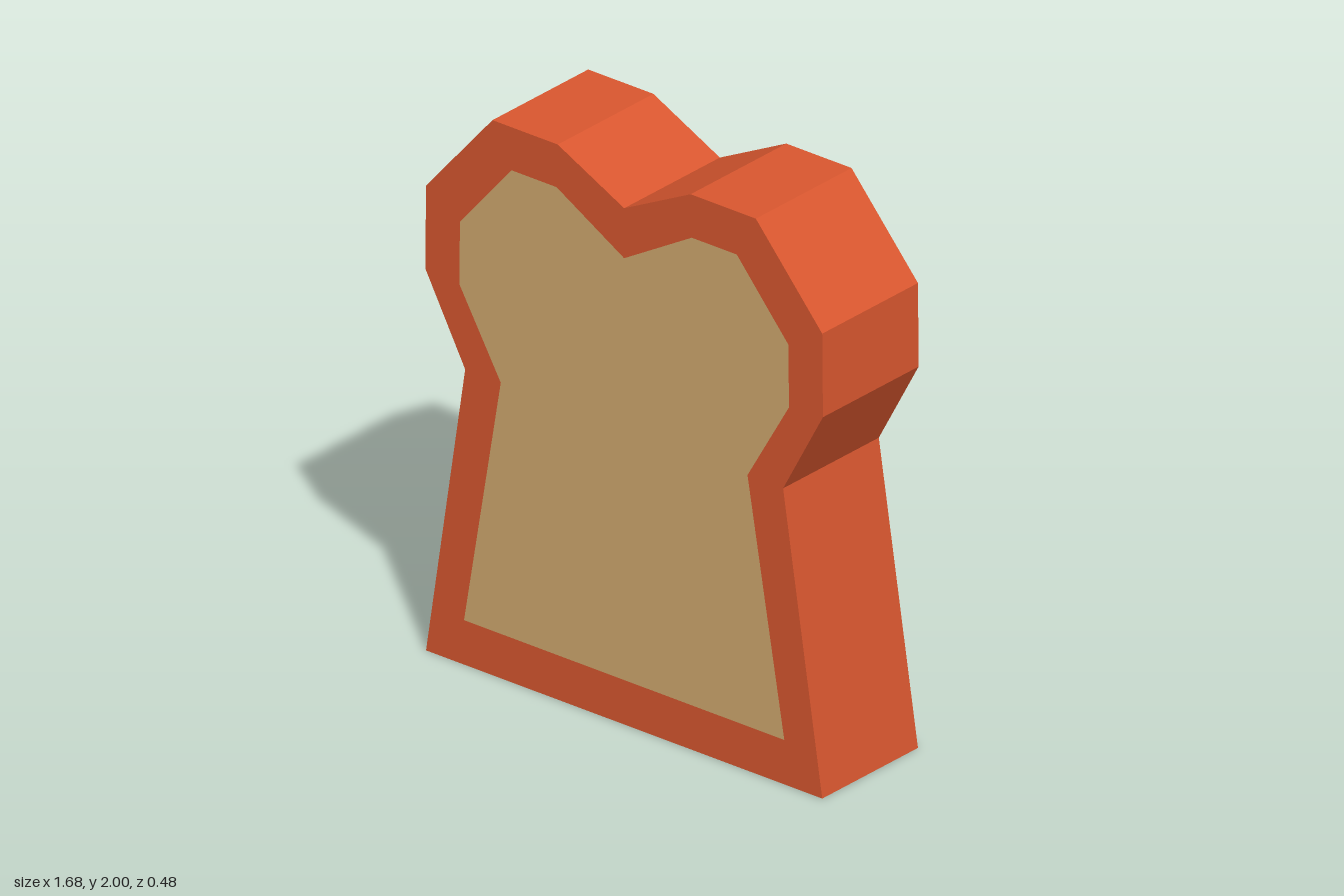
import * as THREE from 'three';

const DEPTH = 0.24; // half thickness of the slice

// Right half of each outline, bottom to top; the last point lies on the middle line
const CRUST = [[0.835, 0], [0.67, 1.065], [0.838, 1.375], [0.835, 1.675], [0.555, 2], [0.28, 2], [0, 1.86]];
const CRUMB = [[0.675, 0.16], [0.52, 1.065], [0.695, 1.365], [0.692, 1.59], [0.475, 1.845], [0.285, 1.845], [0, 1.68]];

// Mirror a half outline into a closed counterclockwise loop
function mirrorOutline(half) {
  const left = half.slice(0, -1).reverse().map(([x, y]) => [-x, y]);
  return [...half, ...left];
}

// Join matching rings of points with flat quads
function bandGeometry(rings) {
  const positions = [];
  for (let r = 0; r < rings.length - 1; r++) {
    const a = rings[r], b = rings[r + 1], n = a.length;
    for (let i = 0; i < n; i++) {
      const j = (i + 1) % n;
      positions.push(...a[i], ...a[j], ...b[j], ...a[i], ...b[j], ...b[i]);
    }
  }
  const geometry = new THREE.BufferGeometry();
  geometry.setAttribute('position', new THREE.Float32BufferAttribute(positions, 3));
  geometry.computeVertexNormals();
  return geometry;
}

export function createModel() {
  const crustMaterial = new THREE.MeshStandardMaterial({ color: 0xd9572f });
  crustMaterial.name = 'crustOrange';
  const crumbMaterial = new THREE.MeshStandardMaterial({ color: 0xd2ab70 });
  crumbMaterial.name = 'crumbTan';

  const model = new THREE.Group();
  model.name = 'breadSlice';

  const outer = mirrorOutline(CRUST);
  const inner = mirrorOutline(CRUMB);
  const atZ = (loop, z) => loop.map(([x, y]) => [x, y, z]);

  // Crust: back border, outer wall and front border
  const crust = new THREE.Mesh(bandGeometry([
    atZ(inner, -DEPTH), atZ(outer, -DEPTH), atZ(outer, DEPTH), atZ(inner, DEPTH),
  ]), crustMaterial);
  crust.name = 'crust';
  model.add(crust);

  // Crumb: one face on each side of the slice
  const crumbShape = new THREE.Shape(inner.map(([x, y]) => new THREE.Vector2(x, y)));
  for (const side of [1, -1]) {
    const crumb = new THREE.Mesh(new THREE.ShapeGeometry(crumbShape), crumbMaterial);
    crumb.name = side > 0 ? 'frontCrumb' : 'backCrumb';
    crumb.position.z = side * DEPTH;
    if (side < 0) crumb.rotation.y = Math.PI;
    model.add(crumb);
  }
  return model;
}
